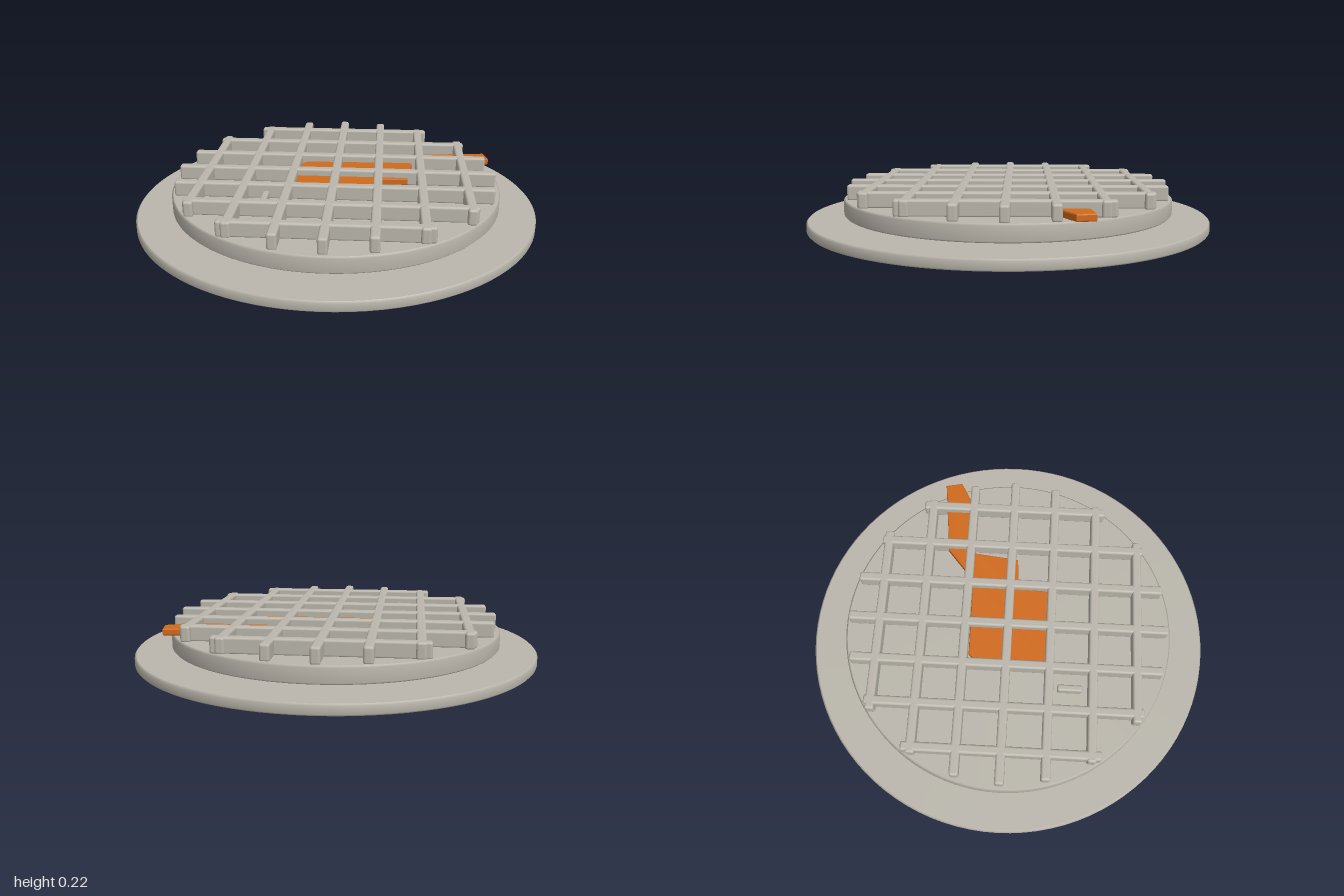
import * as THREE from 'three';
import { RoundedBoxGeometry } from 'three/addons/geometries/RoundedBoxGeometry.js';

export function createModel() {
  const model = new THREE.Group();
  model.name = 'waffleOnPlate';

  const stone = new THREE.MeshStandardMaterial({ color: 0xbab6ac });
  stone.name = 'warm grey';
  const amber = new THREE.MeshStandardMaterial({ color: 0xd06a1c });
  amber.name = 'syrup orange';

  function add(name, geometry, material, x = 0, y = 0, z = 0) {
    const mesh = new THREE.Mesh(geometry, material);
    mesh.name = name;
    mesh.position.set(x, y, z);
    model.add(mesh);
    return mesh;
  }

  // Solid disc with chamfered rims; corners are doubled to keep the faces crisp
  function disc(radius, bottom, top, bevel) {
    const corners = [
      [0, bottom], [radius - bevel, bottom], [radius, bottom + bevel],
      [radius, top - bevel], [radius - bevel, top], [0, top],
    ];
    const points = [];
    corners.forEach(([r, y], i) => {
      points.push(new THREE.Vector2(r, y));
      if (i === 1 || i === 4) points.push(new THREE.Vector2(r + (i === 1 ? 0.0005 : -0.0005), y));
    });
    return new THREE.LatheGeometry(points, 96);
  }

  // Plate and waffle body, with the thin gap between them
  add('plate', disc(1, 0, 0.05, 0.008), stone);
  add('waffleBase', disc(0.82, 0.07, 0.15, 0.008), stone);

  // Ridges: a square grid of rounded bars clipped to a circle
  const pitch = 0.2143;
  const gridRadius = 0.8;
  const width = 0.045;
  const low = 0.145;
  const high = 0.223;
  for (let i = -3; i <= 3; i++) {
    const offset = i * pitch;
    const length = 2 * Math.sqrt(gridRadius ** 2 - offset ** 2);
    const bar = new RoundedBoxGeometry(width, high - low, length, 3, 0.012);
    const y = (low + high) / 2;
    add('ridgeLengthwise', bar, stone, offset, y, 0);
    add('ridgeCrosswise', bar, stone, 0, y, offset).rotation.y = Math.PI / 2;
  }

  // Small loose crumb in one of the pockets
  add('crumb', new RoundedBoxGeometry(0.032, 0.055, 0.122, 3, 0.01), stone, -0.316, 0.1725, 0.318);

  // Syrup pool running out over the rim; outline given as x, z
  const outline = [
    [-0.205, 0.2], [0.19, 0.2], [0.2, 0.045], [0.362, 0.033], [0.388, -0.2],
    [0.7, -0.237], [0.8, -0.29], [0.782, -0.375], [0.4, -0.33], [0.24, -0.195],
    [-0.165, -0.187], [-0.205, -0.135],
  ];
  const bevel = 0.006;
  const shape = new THREE.Shape(outline.map(([x, z]) => new THREE.Vector2(x, -z)));
  const pool = new THREE.ExtrudeGeometry(shape, {
    depth: 0.034 - 2 * bevel,
    bevelEnabled: true,
    bevelThickness: bevel,
    bevelSize: bevel,
    bevelOffset: -bevel,
    bevelSegments: 2,
  });
  pool.rotateX(-Math.PI / 2);
  add('syrup', pool, amber, 0, 0.154 + bevel, 0);

  return model;
}
